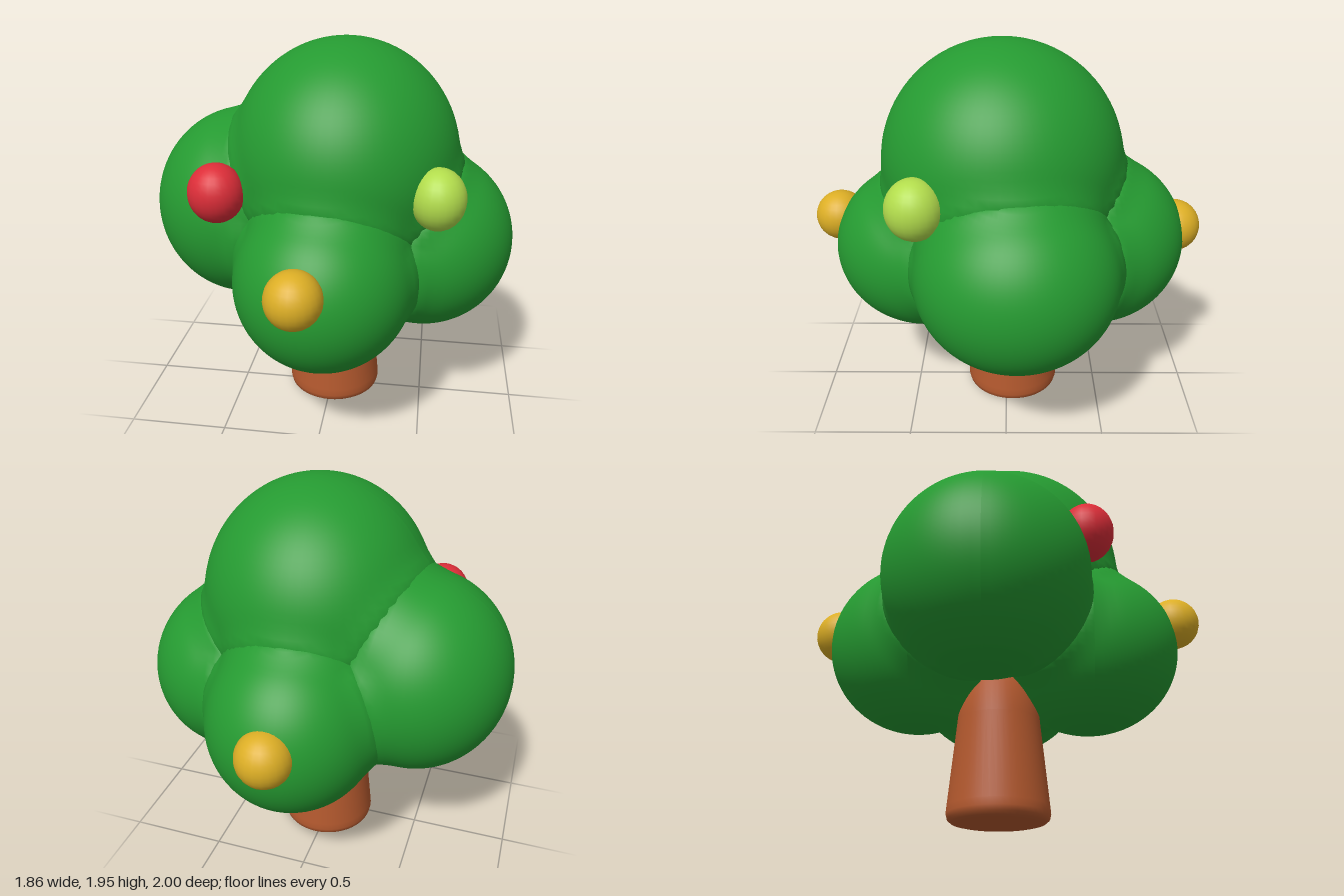
import * as THREE from 'three';

const mat = (name, color) => {
  const m = new THREE.MeshStandardMaterial({ color });
  m.name = name;
  return m;
};

// foliage lobes: name, centre, radii
const LOBES = [
  ['crownLobe', [0.07, 1.36, 0.02], [0.565, 0.59, 0.59]],
  ['rightLobe', [-0.46, 1.07, -0.08], [0.47, 0.495, 0.495]],
  ['leftLobe', [0.47, 0.93, -0.05], [0.46, 0.455, 0.49]],
  ['frontLobe', [0.02, 0.875, 0.42], [0.432, 0.43, 0.463]],
  ['backLobe', [0.04, 0.915, -0.45], [0.425, 0.45, 0.46]],
].map(([name, c, r]) => ({ name, c: new THREE.Vector3(...c), r: new THREE.Vector3(...r) }));

// approximate signed distance from a point to a lobe
function lobeDistance(p, { c, r }) {
  const q = p.clone().sub(c).divide(r);
  return (q.length() - 1) * (r.x + r.y + r.z) / 3;
}

// ellipsoid swollen softly where it meets its neighbours
function lobeGeometry(lobe) {
  const blend = 0.12;
  const geo = new THREE.SphereGeometry(1, 72, 48);
  const pos = geo.attributes.position;
  const p = new THREE.Vector3(), n = new THREE.Vector3();
  for (let i = 0; i < pos.count; i++) {
    p.fromBufferAttribute(pos, i);
    n.copy(p).divide(lobe.r).normalize();
    p.multiply(lobe.r).add(lobe.c);
    const d = Math.min(...LOBES.filter((o) => o !== lobe).map((o) => lobeDistance(p, o)));
    const h = Math.max(blend - Math.abs(d), 0) / blend;
    p.addScaledVector(n, h * h * blend / 4);
    pos.setXYZ(i, p.x, p.y, p.z);
  }
  geo.computeVertexNormals();
  return geo;
}

export function createModel() {
  const tree = new THREE.Group();
  tree.name = 'fruitTree';
  const green = mat('leafGreen', 0x259a31);
  const brown = mat('barkBrown', 0xb4592e);
  const red = mat('fruitRed', 0xdc2d38);
  const lime = mat('fruitLime', 0xb2dc4c);
  const yellow = mat('fruitYellow', 0xdcae25);

  const add = (name, geo, material, parent = tree) => {
    const mesh = new THREE.Mesh(geo, material);
    mesh.name = name;
    parent.add(mesh);
    return mesh;
  };

  // tapered trunk with a rounded foot
  const profile = [[0, 0], [0.2, 0], [0.226, 0.006], [0.243, 0.02], [0.249, 0.045], [0.246, 0.08],
    [0.205, 0.5], [0.18, 0.8], [0, 0.8]].map(([x, y]) => new THREE.Vector2(x, y));
  add('trunk', new THREE.LatheGeometry(profile, 48), brown).position.set(0.01, 0, -0.035);

  // foliage
  const foliage = new THREE.Group();
  foliage.name = 'foliage';
  tree.add(foliage);
  for (const lobe of LOBES) add(lobe.name, lobeGeometry(lobe), green, foliage);

  // fruit: name, colour, centre, radii
  const fruits = [
    ['redFruit', red, [-0.49, 1.28, 0.4], [0.135, 0.143, 0.13]],
    ['limeFruit', lime, [0.535, 1.305, 0.403], [0.128, 0.145, 0.134]],
    ['frontYellowFruit', yellow, [-0.04, 1.007, 0.87], [0.128, 0.13, 0.13]],
    ['backYellowFruit', yellow, [0.025, 0.982, -0.868], [0.132, 0.135, 0.132]],
  ];
  for (const [name, material, c, r] of fruits) {
    const fruit = add(name, new THREE.SphereGeometry(1, 24, 16), material);
    fruit.position.set(...c);
    fruit.scale.set(...r);
  }
  return tree;
}
